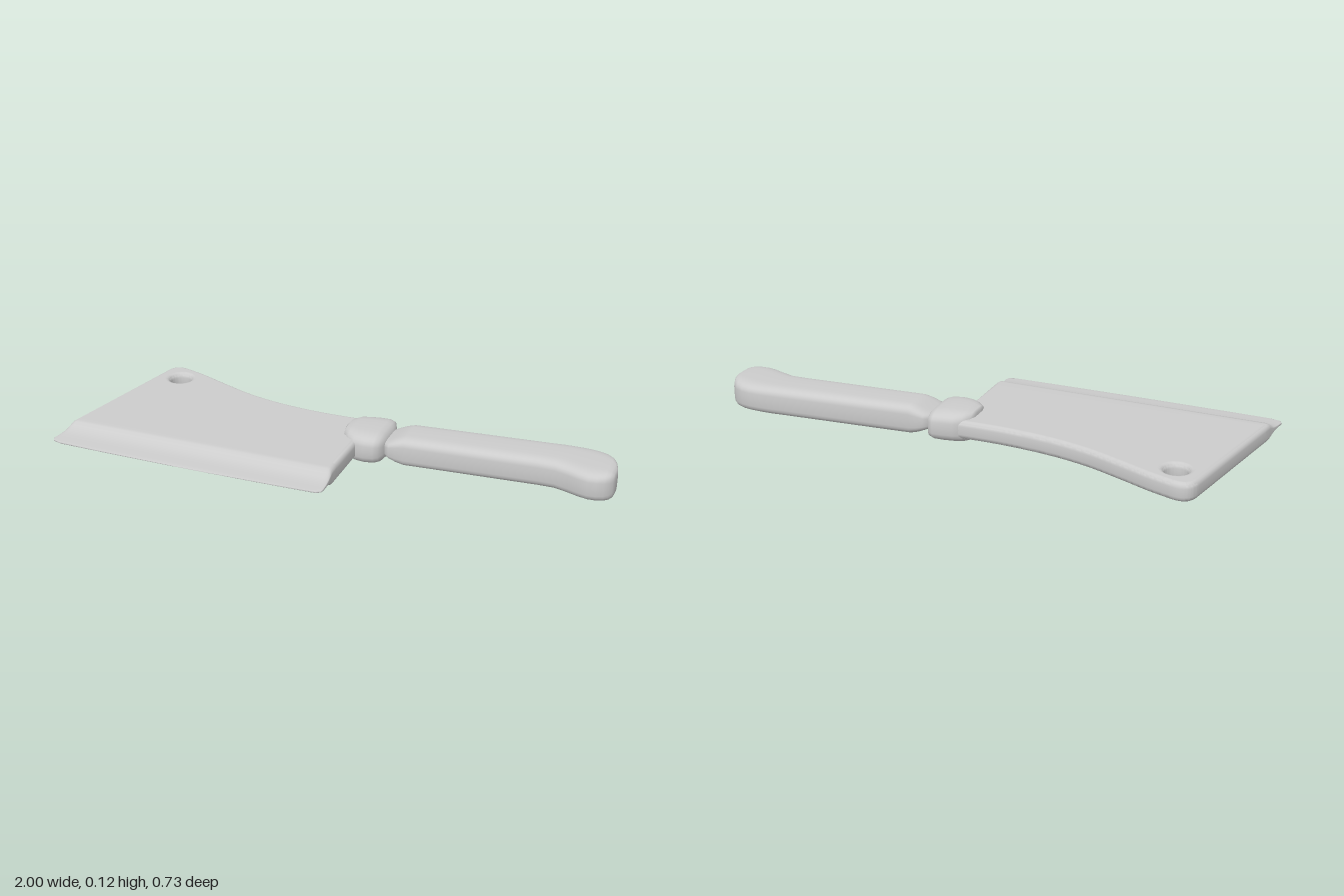
import * as THREE from 'three';
import { toCreasedNormals } from 'three/addons/utils/BufferGeometryUtils.js';

const MID = 0.0625;   // height of the plane of symmetry
const HALF = 0.035;   // half thickness of the blade
const BEVEL = 0.02;
const material = new THREE.MeshStandardMaterial({ color: 0xcccccc, side: THREE.DoubleSide });

// Skin a list of rings (arrays of [x, y, z], counter-clockwise about the path)
function loft(rings, caps = true) {
  const n = rings[0].length, pos = rings.flat(2), index = [];
  for (let r = 0; r < rings.length - 1; r++) {
    for (let i = 0; i < n; i++) {
      const j = (i + 1) % n, a = r * n + i, b = r * n + j;
      index.push(a, b, a + n, b, b + n, a + n);
    }
  }
  if (caps) {
    [0, rings.length - 1].forEach((r) => {
      const c = pos.length / 3;
      for (let k = 0; k < 3; k++) pos.push(rings[r].reduce((s, p) => s + p[k], 0) / n);
      for (let i = 0; i < n; i++) {
        const a = r * n + i, b = r * n + (i + 1) % n;
        index.push(c, ...(r ? [a, b] : [b, a]));
      }
    });
  }
  const g = new THREE.BufferGeometry();
  g.setAttribute('position', new THREE.Float32BufferAttribute(pos, 3));
  g.setIndex(index);
  g.computeVertexNormals();
  return g;
}

// Rounded-rectangle section across x, spanning z0..z1 with half height h
function gripRing([x, z0, z1, h], power = 0.5) {
  const soft = (v) => Math.sign(v) * Math.abs(v) ** power;
  return Array.from({ length: 32 }, (_, i) => {
    const a = (i / 32) * Math.PI * 2;
    return [x, h * soft(Math.cos(a)), (z0 + z1) / 2 + ((z1 - z0) / 2) * soft(Math.sin(a))];
  });
}

// Flat-sided section across z with rounded ends, spanning x0..x1
function edgeRing([z, h, x0, x1]) {
  const arc = [0, 1, 2, 3, 4].map((i) => {
    const a = (i / 4) * Math.PI / 2;
    return [BEVEL * (1 - Math.cos(a)), h * (0.43 + 0.57 * Math.sin(a))];
  });
  const top = [
    ...arc.map(([d, y]) => [x1 - d, y, z]),
    ...arc.slice().reverse().map(([d, y]) => [x0 + d, y, z]),
  ];
  return [...top, ...top.slice().reverse().map(([x, y]) => [x, -y, z])];
}

// Thick plate of the blade, with the hanging hole
function plateGeometry() {
  const s = new THREE.Shape();
  s.moveTo(0.07, 0.225);
  s.lineTo(-0.979, 0.225);
  s.lineTo(-0.873, -0.315);
  s.bezierCurveTo(-0.864, -0.36, -0.835, -0.375, -0.785, -0.36);
  s.splineThru([[-0.7, -0.332], [-0.58, -0.283], [-0.45, -0.235], [-0.3, -0.202],
    [-0.12, -0.187], [0.07, -0.192]].map(([x, z]) => new THREE.Vector2(x, z)));
  s.closePath();
  s.holes.push(new THREE.Path().absarc(-0.78, -0.26, 0.041, 0, Math.PI * 2));
  const raw = new THREE.ExtrudeGeometry(s, {
    depth: 2 * (HALF - BEVEL), bevelSize: BEVEL, bevelThickness: BEVEL,
    bevelOffset: -BEVEL, bevelSegments: 4, curveSegments: 24,
  });
  raw.translate(0, 0, BEVEL - HALF).rotateX(Math.PI / 2);
  const g = toCreasedNormals(raw, 0.7);
  // Keep the broad faces evenly shaded
  const { position, normal } = g.attributes;
  for (let i = 0; i < position.count; i++) {
    const y = position.getY(i);
    if (Math.abs(y) > HALF - 0.0001) normal.setXYZ(i, 0, Math.sign(y), 0);
  }
  return g;
}

export function createModel() {
  const model = new THREE.Group();
  model.name = 'cleaver';
  const add = (name, geometry) => {
    const mesh = new THREE.Mesh(geometry, material);
    mesh.name = name;
    mesh.position.y = MID;
    model.add(mesh);
  };

  add('bladePlate', plateGeometry());

  // Hollow-ground bevel down to the cutting edge: z, half thickness, x range
  add('cuttingEdge', loft([
    [0.19, 0.035, -0.972, 0.07], [0.222, 0.035, -0.979, 0.07], [0.236, 0.033, -0.981, 0.07],
    [0.25, 0.024, -0.984, 0.071], [0.27, 0.013, -0.988, 0.072], [0.3, 0.007, -0.994, 0.074],
    [0.33, 0.005, -1, 0.075], [0.345, 0.004, -0.992, 0.072], [0.354, 0.003, -0.965, 0.055],
    [0.359, 0.002, -0.8, -0.1], [0.363, 0.001, -0.5, -0.35],
  ].map(edgeRing), false));

  // Collar between blade and handle: x, z range, half height
  add('bolster', loft([
    [0, -0.13, -0.06, 0.045], [0.008, -0.16, -0.03, 0.054], [0.032, -0.188, -0.006, 0.058],
    [0.06, -0.2, 0.012, 0.059], [0.1, -0.206, 0.017, 0.06], [0.135, -0.21, 0.012, 0.058],
    [0.152, -0.205, 0.003, 0.052], [0.163, -0.18, -0.02, 0.041], [0.17, -0.15, -0.05, 0.025],
  ].map((r) => gripRing(r, 0.6))));

  // Handle with a hooked butt
  add('handle', loft([
    [0.155, -0.15, -0.05, 0.025], [0.168, -0.17, -0.03, 0.031], [0.185, -0.183, -0.018, 0.037],
    [0.21, -0.187, -0.018, 0.048], [0.24, -0.189, -0.02, 0.057], [0.4, -0.203, -0.031, 0.057],
    [0.6, -0.22, -0.044, 0.057], [0.73, -0.231, -0.053, 0.057], [0.79, -0.237, -0.053, 0.057],
    [0.84, -0.24, -0.036, 0.057], [0.88, -0.24, -0.02, 0.057], [0.915, -0.234, -0.011, 0.057],
    [0.945, -0.221, -0.014, 0.057], [0.97, -0.198, -0.024, 0.056], [0.985, -0.172, -0.035, 0.052],
    [0.995, -0.14, -0.05, 0.045], [1, -0.115, -0.062, 0.034],
  ].map((r) => gripRing(r))));

  return model;
}
